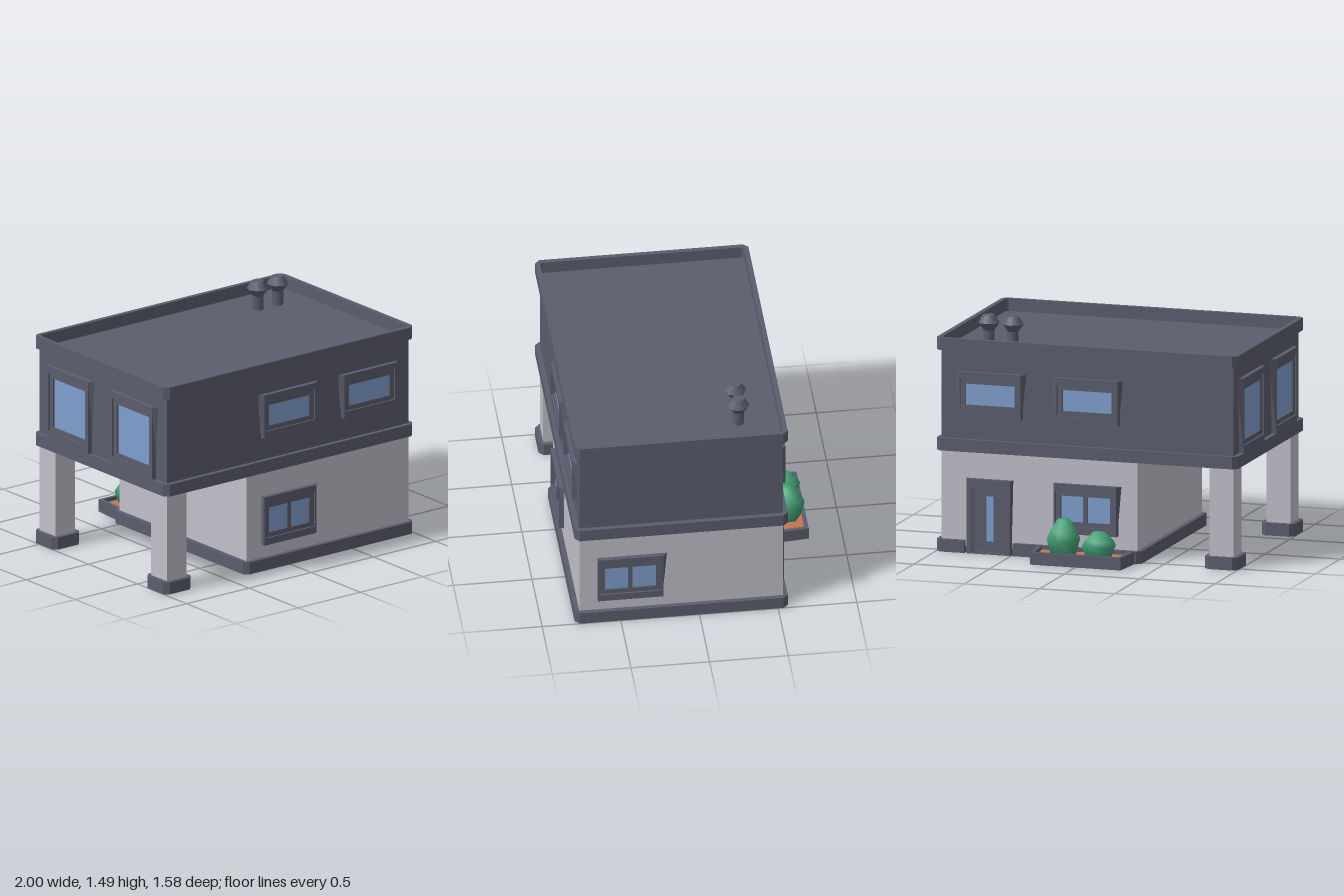
import * as THREE from 'three';

const mat = (name, color) => Object.assign(new THREE.MeshStandardMaterial({ color }), { name });

export function createModel() {
  const model = new THREE.Group();
  model.name = 'house';
  const dark = mat('slate grey', 0x5b5d6e);
  const light = mat('pale plaster', 0xc1c0ca);
  const glass = mat('window blue', 0x7f9fce);
  const soil = mat('terracotta soil', 0xbe7655);
  const green = mat('bush green', 0x46a378);

  const add = (name, geo, m, parent = model) => {
    const mesh = new THREE.Mesh(geo, m);
    mesh.name = name;
    parent.add(mesh);
    return mesh;
  };
  // box given by its limits
  const box = (name, m, x0, x1, y0, y1, z0, z1, parent) => add(name,
    new THREE.BoxGeometry(x1 - x0, y1 - y0, z1 - z0)
      .translate((x0 + x1) / 2, (y0 + y1) / 2, (z0 + z1) / 2), m, parent);
  // upright prism over an outline of [x, z] points, with an optional hole
  const prism = (name, m, pts, y0, y1, hole) => {
    const vec = (list) => list.map(([x, z]) => new THREE.Vector2(x, -z));
    const shape = new THREE.Shape(vec(pts));
    if (hole) shape.holes.push(new THREE.Path(vec(hole)));
    const geo = new THREE.ExtrudeGeometry(shape, { depth: y1 - y0, bevelEnabled: false });
    return add(name, geo.rotateX(-Math.PI / 2).translate(0, y0, 0), m);
  };
  // rectangle with cut corners
  const cut = (x0, x1, z0, z1, c = 0.03) => [
    [x0 + c, z1], [x1 - c, z1], [x1, z1 - c], [x1, z0 + c],
    [x1 - c, z0], [x0 + c, z0], [x0, z0 + c], [x0, z1 - c]];

  // upper storey, bands and parapet
  box('upperWalls', dark, -0.97, 0.97, 0.66, 1.295, -0.535, 0.76);
  prism('lowerBand', dark, cut(-1, 1, -0.565, 0.79), 0.65, 0.73);
  prism('parapet', dark, cut(-1, 1, -0.565, 0.79), 1.295, 1.375,
    cut(-0.97, 0.97, -0.535, 0.76, 0.015));

  // lower storey, with a plinth notched for the door
  box('lowerWalls', light, -0.33, 0.97, 0.04, 0.66, -0.535, 0.76);
  prism('plinth', dark, [[-0.33, 0.79], [0.97, 0.79], [1, 0.76], [1, -0.535], [0.97, -0.565],
    [0.81, -0.565], [0.81, -0.53], [0.49, -0.53], [0.49, -0.565],
    [-0.33, -0.565], [-0.36, -0.535], [-0.36, 0.76]], 0, 0.08);

  // corner pillars
  for (const z of [-0.455, 0.68]) {
    box('pillar', light, -0.97, -0.81, 0.04, 0.66, z - 0.08, z + 0.08);
    prism('pillarFoot', dark, cut(-1, -0.78, z - 0.11, z + 0.11), 0, 0.08);
  }

  // stepped frame lofted through rectangles; sides flare towards the wall
  const frameGeometry = (hw, y0, y1, flareL, flareR, mid, inner) => {
    const rect = (l, r, b, t, z) => [[l, b, z], [r, b, z], [r, t, z], [l, t, z]];
    const step = (s, z) => rect(-s[0], s[0], s[1], s[2], z);
    const wall = rect(-hw - flareL * 0.2, hw + flareR * 0.2, y0, y1, -0.01);
    wall[2][0] = hw + flareR;
    wall[3][0] = -hw - flareL;
    const loops = [wall, rect(-hw, hw, y0, y1, 0.03), step(mid, 0.03),
      step(mid, 0.018), step(inner, 0.018), step(inner, 0.002)];
    const pos = [];
    for (let k = 0; k < loops.length - 1; k++) {
      const a = loops[k], b = loops[k + 1];
      for (let i = 0; i < 4; i++) {
        const j = (i + 1) % 4;
        pos.push(...a[i], ...a[j], ...b[j], ...a[i], ...b[j], ...b[i]);
      }
    }
    const geo = new THREE.BufferGeometry();
    geo.setAttribute('position', new THREE.Float32BufferAttribute(pos, 3));
    geo.computeVertexNormals();
    return geo;
  };
  const mount = (name, x, z, turn) => {
    const g = new THREE.Group();
    g.name = name;
    g.position.set(x, 0, z);
    g.rotation.y = turn;
    model.add(g);
    return g;
  };
  const windowUnit = (name, x, z, turn, y0, y1, flareL, double) => {
    const g = mount(name, x, z, turn);
    const b = y0 + 0.077, t = y1 - 0.077;
    add('windowFrame', frameGeometry(0.208, y0, y1, flareL, 0.035,
      [0.196, y0 + 0.047, y1 - 0.043], [0.163, b, t]), dark, g);
    box('windowGlass', glass, -0.163, 0.163, b, t, 0.001, 0.006, g);
    if (double) box('windowMullion', dark, -0.014, 0.014, b, t, 0, 0.018, g);
  };

  // upper windows front and back
  for (const x of [0, 0.643]) {
    windowUnit('frontUpperWindow', x, 0.76, 0, 0.875, 1.165, 0.035, false);
    windowUnit('backUpperWindow', x, -0.535, Math.PI, 0.875, 1.165, 0.035, false);
  }
  // tall windows over the open side
  for (const z of [-0.2125, 0.4375])
    windowUnit('tallSideWindow', -0.97, z, -Math.PI / 2, 0.73, 1.21, 0.035, false);
  // lower double windows
  windowUnit('frontLowerWindow', 0, 0.76, 0, 0.165, 0.485, 0, true);
  windowUnit('sideLowerWindow', 0.97, 0.437, Math.PI / 2, 0.165, 0.485, 0, true);
  windowUnit('backLowerWindow', 0.01, -0.535, Math.PI, 0.165, 0.485, 0, true);

  // back door
  const door = mount('door', 0.65, -0.535, Math.PI);
  add('doorFrame', frameGeometry(0.145, 0, 0.48, 0.015, 0.015,
    [0.11, 0.008, 0.425], [0.1, 0.012, 0.415]), dark, door);
  box('doorLeaf', dark, -0.1, 0.1, 0.012, 0.415, 0, 0.006, door);
  box('doorGlass', glass, -0.02, 0.028, 0.08, 0.37, 0.005, 0.009, door);
  box('doorHandlePost', dark, -0.064, -0.054, 0.2, 0.21, 0.005, 0.026, door);
  box('doorHandle', dark, -0.064, -0.03, 0.2, 0.21, 0.02, 0.028, door);

  // planter with two bushes
  const bed = [[-0.32, -0.56], [0.32, -0.56], [0.3, -0.785], [-0.3, -0.785]];
  const bedInner = [[-0.293, -0.565], [0.293, -0.565], [0.276, -0.763], [-0.276, -0.763]];
  prism('planterFloor', dark, bed, 0, 0.05);
  prism('planterRim', dark, bed, 0.05, 0.08, bedInner);
  prism('planterSoil', soil, bedInner, 0.049, 0.056);
  const bush = (x, r, mid, top) => add('bush', new THREE.LatheGeometry([
    [0.001, 0.05], [r * 0.75, 0.052], [r, mid], [r * 0.82, mid + (top - mid) * 0.4],
    [r * 0.36, top], [0.001, top]].map((p) => new THREE.Vector2(...p)), 6)
    .translate(x, 0, -0.675), green);
  bush(0.115, 0.108, 0.155, 0.285);
  bush(-0.12, 0.11, 0.13, 0.215);

  // roof vents
  for (const x of [0.58, 0.74]) {
    add('ventPipe', new THREE.CylinderGeometry(0.036, 0.036, 0.12, 8)
      .translate(x, 1.345, -0.28), dark);
    add('ventCapLower', new THREE.CylinderGeometry(0.07, 0.034, 0.05, 8)
      .translate(x, 1.41, -0.28), dark);
    add('ventCapUpper', new THREE.CylinderGeometry(0.038, 0.07, 0.05, 8)
      .translate(x, 1.46, -0.28), dark);
  }
  return model;
}
